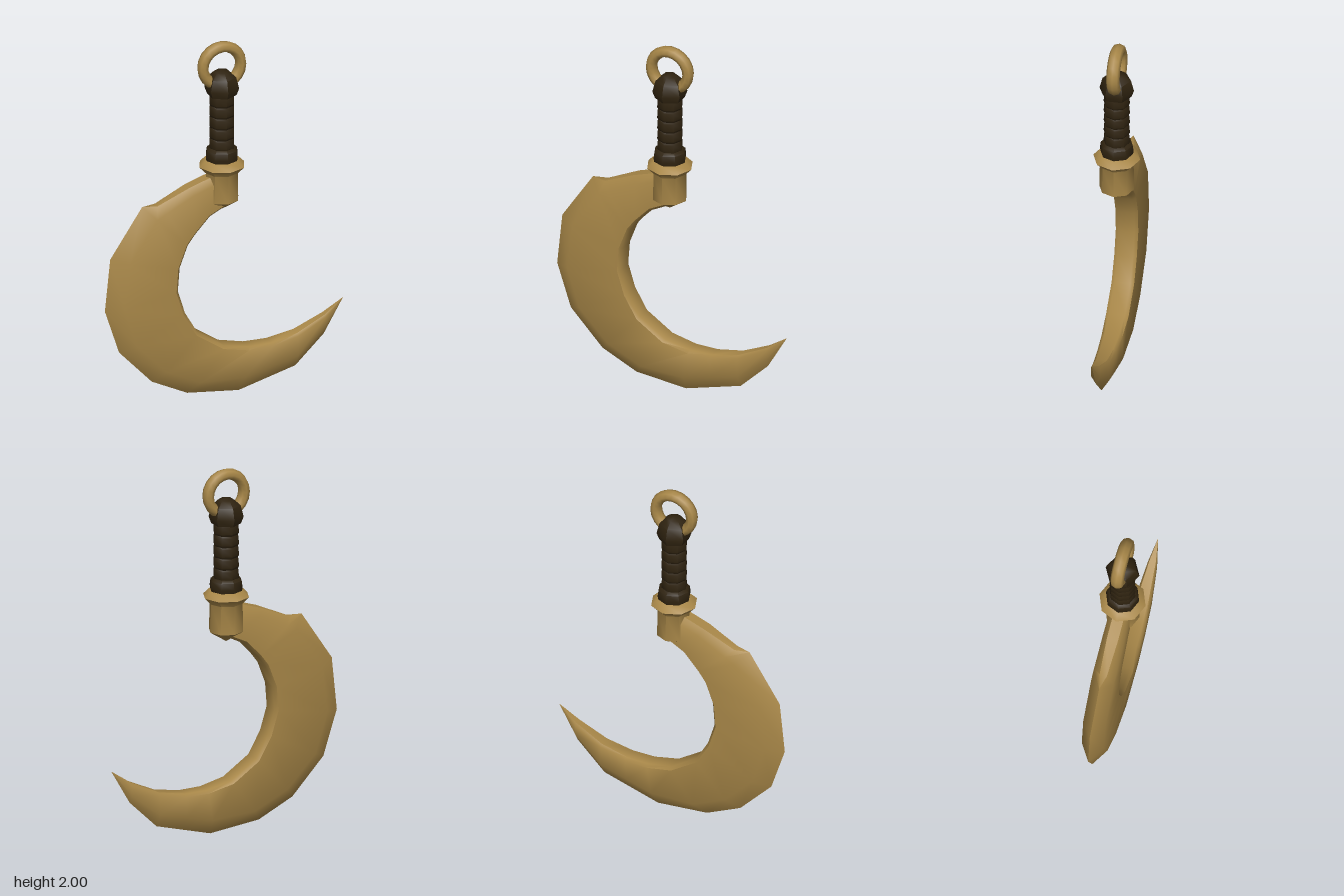
import * as THREE from 'three';
import { toCreasedNormals } from 'three/addons/utils/BufferGeometryUtils.js';

const AXIS = -0.015; // x of the handle axis

// Blade stations: outer x, y, inner x, y, half thickness, bevel width, half thickness of the outer edge
const STATIONS = [
  [-0.03, 1.27, -0.01, 1.08, 0.055, 0.04, 0.03],
  [-0.21, 1.21, -0.10, 1.035, 0.058, 0.04, 0.03],
  [-0.385, 1.13, -0.18, 0.95, 0.06, 0.05, 0.02],
  [-0.465, 1.13, -0.225, 0.89, 0.06, 0.09, 0],
  [-0.645, 0.86, -0.27, 0.77, 0.06, 0.09, 0],
  [-0.675, 0.57, -0.28, 0.64, 0.06, 0.09, 0],
  [-0.595, 0.325, -0.24, 0.51, 0.06, 0.09, 0],
  [-0.41, 0.13, -0.17, 0.39, 0.06, 0.09, 0],
  [-0.21, 0.035, -0.02, 0.29, 0.06, 0.09, 0],
  [0.08, 0.005, 0.12, 0.26, 0.055, 0.09, 0],
  [0.24, 0.05, 0.25, 0.26, 0.05, 0.08, 0],
  [0.40, 0.095, 0.40, 0.29, 0.041, 0.07, 0],
  [0.56, 0.25, 0.56, 0.365, 0.025, 0.045, 0],
  [0.67, 0.44, 0.67, 0.44, 0, 0, 0],
];

// Loft an eight-sided section, sharp outside and blunt inside, along the stations
function bladeGeometry() {
  const positions = [], index = [], sides = 8;
  for (const [ox, oy, ix, iy, t, bevel, edge] of STATIONS) {
    const width = Math.hypot(ix - ox, iy - oy) || 1;
    const b = bevel / width, r = Math.min(0.015 / width, 0.2);
    const section = [
      [0, edge], [b, t], [1 - r, t], [1, t * 0.7],
      [1, -t * 0.7], [1 - r, -t], [b, -t], [0, -edge],
    ];
    for (const [k, z] of section) positions.push(ox + (ix - ox) * k, oy + (iy - oy) * k, z);
  }
  for (let i = 0; i < STATIONS.length - 1; i++) {
    for (let j = 0; j < sides; j++) {
      const n = (j + 1) % sides;
      const a = i * sides + j, d = i * sides + n;
      const b = a + sides, c = d + sides;
      index.push(a, b, c, a, c, d);
    }
  }
  const geo = new THREE.BufferGeometry();
  geo.setAttribute('position', new THREE.Float32BufferAttribute(positions, 3));
  geo.setIndex(index);
  return toCreasedNormals(geo, 0.85);
}

// Lathe a [radius, y] profile, listed from bottom to top
function turned(profile, sides) {
  const points = profile.map(([r, y]) => new THREE.Vector2(r, y));
  return toCreasedNormals(new THREE.LatheGeometry(points, sides), 0.9);
}

export function createModel() {
  const group = new THREE.Group();
  const brass = new THREE.MeshStandardMaterial({ color: 0xa88748 });
  brass.name = 'brass';
  const leather = new THREE.MeshStandardMaterial({ color: 0x2f2310 });
  leather.name = 'dark leather';

  const add = (name, geometry, material, x = AXIS, y = 0) => {
    const mesh = new THREE.Mesh(geometry, material);
    mesh.name = name;
    mesh.position.set(x, y, 0);
    group.add(mesh);
    return mesh;
  };

  add('blade', bladeGeometry(), brass, 0);

  // Faceted socket with its flared rim and pointed base
  add('socket', turned([
    [0, 1.05], [0.093, 1.11], [0.09, 1.265], [0.125, 1.302], [0.092, 1.335], [0, 1.335],
  ], 8), brass);

  // Handle: lower collar, wrapped grip and pommel
  add('lowerCollar', turned([
    [0, 1.33], [0.086, 1.33], [0.09, 1.355], [0.085, 1.39], [0.068, 1.405], [0, 1.405],
  ], 8), leather);

  const grip = [[0, 1.395]];
  const wraps = 5, wrapHeight = 0.062;
  for (let i = 0; i < wraps; i++) {
    const y = 1.395 + i * wrapHeight;
    grip.push([0.063, y], [0.07, y + 0.012], [0.068, y + wrapHeight - 0.01]);
  }
  grip.push([0.063, 1.71], [0, 1.71]);
  add('wrappedGrip', turned(grip, 8), leather);

  add('pommel', turned([
    [0, 1.7], [0.078, 1.7], [0.092, 1.738], [0.076, 1.8], [0.04, 1.832], [0, 1.84],
  ], 6), leather);

  // Hanging ring
  const ring = add('ring', new THREE.TorusGeometry(0.107, 0.03, 8, 20), brass, AXIS, 1.863);
  ring.scale.z = 1.2;

  return group;
}
